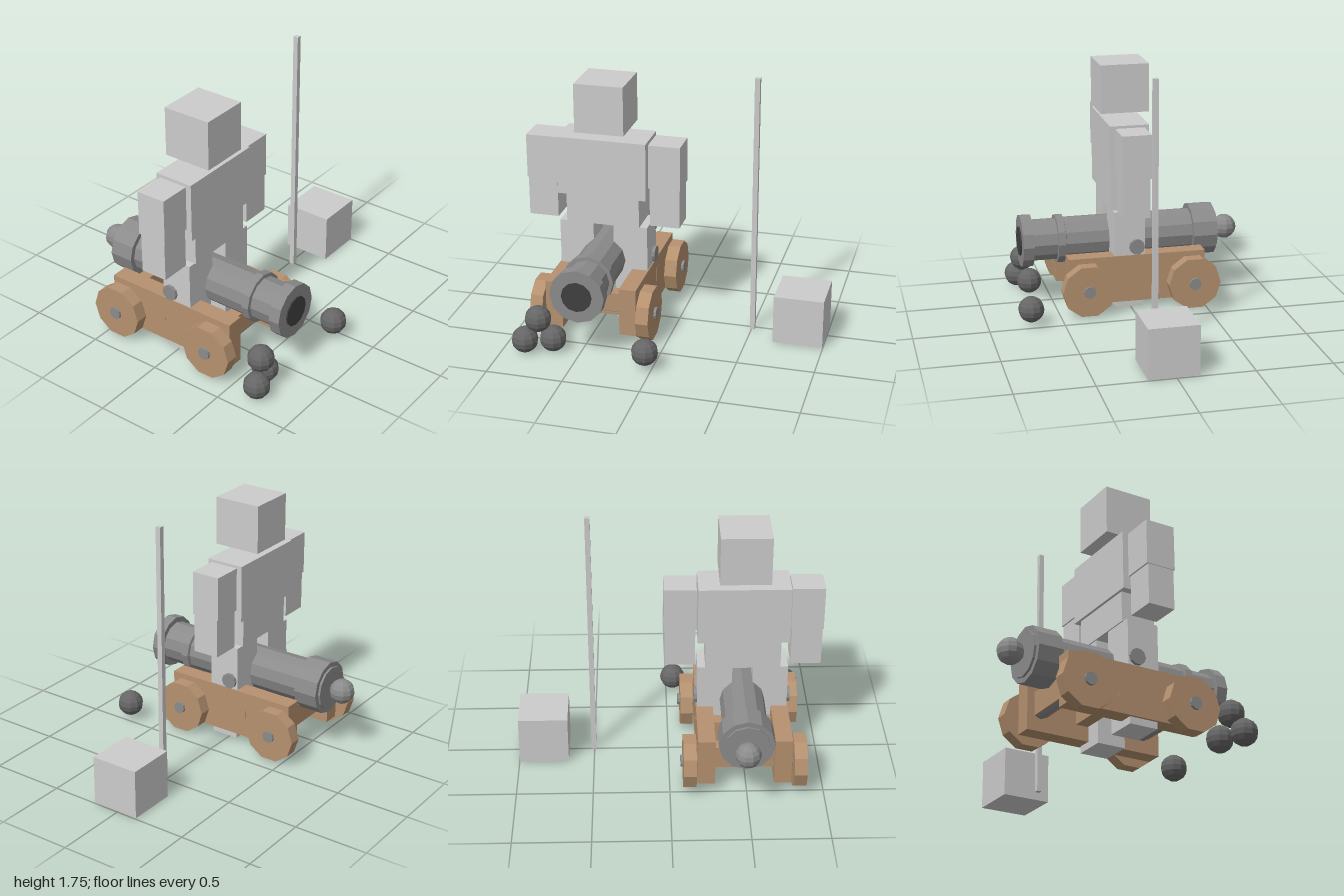
import * as THREE from 'three';

const mat = (color) => new THREE.MeshStandardMaterial({ color, flatShading: true });

export function createModel() {
  const model = new THREE.Group();
  const grey = mat(0xcccccc), iron = mat(0x8b8b8b), shot = mat(0x666666);
  const wood = mat(0xb5916f), dark = mat(0x404040);

  const add = (parent, name, geometry, material, x = 0, y = 0, z = 0) => {
    const mesh = new THREE.Mesh(geometry, material);
    mesh.name = name;
    mesh.position.set(x, y, z);
    parent.add(mesh);
    return mesh;
  };
  // Box given by its limits on each axis
  const box = (parent, name, material, [x0, x1], [y0, y1], [z0, z1]) =>
    add(parent, name, new THREE.BoxGeometry(x1 - x0, y1 - y0, z1 - z0), material,
      (x0 + x1) / 2, (y0 + y1) / 2, (z0 + z1) / 2);
  // Cylinder lying along x
  const rod = (parent, name, material, r, length, sides, x, y, z) =>
    add(parent, name, new THREE.CylinderGeometry(r, r, length, sides).rotateZ(Math.PI / 2), material, x, y, z);
  const group = (name, x = 0) => {
    const g = new THREE.Group();
    g.name = name;
    g.position.x = x;
    model.add(g);
    return g;
  };
  const CX = -0.485; // shared centre line of the figure and the cannon

  // Blocky figure
  const figure = group('figure', CX);
  box(figure, 'head', grey, [-0.163, 0.163], [1.34, 1.665], [-0.145, 0.182]);
  box(figure, 'chest', grey, [-0.297, 0.297], [0.895, 1.285], [-0.113, 0.15]);
  box(figure, 'hips', grey, [-0.245, 0.245], [0.695, 0.895], [-0.095, 0.135]);
  for (const s of [-1, 1]) {
    const side = s < 0 ? 'right' : 'left';
    const limb = (name, a, b, y, z) =>
      box(figure, side + name, grey, s < 0 ? [-b, -a] : [a, b], y, z);
    limb('UpperArm', 0.305, 0.515, [0.975, 1.27], [-0.08, 0.118]);
    limb('LowerArm', 0.312, 0.51, [0.71, 0.975], [-0.07, 0.11]);
    limb('Thigh', 0.068, 0.297, [0.35, 0.695], [-0.087, 0.125]);
    limb('Shin', 0.077, 0.287, [0.02, 0.35], [-0.075, 0.115]);
  }

  // Cannon barrel, turned around z
  const cannon = group('cannon', CX);
  const profile = [
    [0, -0.64], [0.147, -0.64], [0.147, -0.625], [0.18, -0.625], [0.18, -0.46],
    [0.147, -0.46], [0.147, 0.42], [0.167, 0.425], [0.167, 0.475], [0.143, 0.477],
    [0.143, 0.643], [0.18, 0.643], [0.18, 0.717], [0, 0.717],
  ].map(([r, z]) => new THREE.Vector2(r, z));
  add(cannon, 'barrel', new THREE.LatheGeometry(profile, 12).rotateX(Math.PI / 2), iron, 0, 0.448, 0);
  add(cannon, 'bore', new THREE.CylinderGeometry(0.1, 0.1, 0.03, 12).rotateX(Math.PI / 2), dark, 0, 0.448, 0.711);
  add(cannon, 'breechKnob', new THREE.SphereGeometry(0.084, 10, 8), iron, 0, 0.448, -0.722);
  rod(cannon, 'trunnion', iron, 0.053, 0.635, 10, 0, 0.448, -0.028);

  // Wooden carriage
  const carriage = group('carriage', CX);
  for (const s of [-1, 1]) {
    const x = s * 0.248;
    box(carriage, 'sidePlank', wood, [x - 0.056, x + 0.056], [0.065, 0.39], [-0.5, 0.437]);
  }
  for (const z of [-0.41, -0.12, 0.313])
    box(carriage, 'crossBeam', wood, [-0.305, 0.305], [0.16, 0.313], [z - 0.042, z + 0.042]);
  for (const z of [-0.41, 0.315]) {
    rod(carriage, 'axle', iron, 0.041, 0.83, 10, 0, 0.186, z);
    for (const s of [-1, 1]) rod(carriage, 'wheel', wood, 0.18, 0.084, 10, s * 0.356, 0.186, z);
  }

  // Loose cannonballs
  const balls = group('cannonballs');
  for (const [x, y, z] of [[-0.85, 0.088, 0.69], [-0.68, 0.088, 0.63], [-0.767, 0.232, 0.66], [-0.045, 0.118, 0.717]])
    add(balls, 'cannonball', new THREE.SphereGeometry(0.087, 10, 8), shot, x, y, z);

  // Separate pole and block
  box(model, 'pole', grey, [0.488, 0.521], [0, 1.745], [0, 0.034]);
  box(model, 'block', grey, [0.67, 0.997], [0.005, 0.332], [-0.145, 0.182]);

  return model;
}
